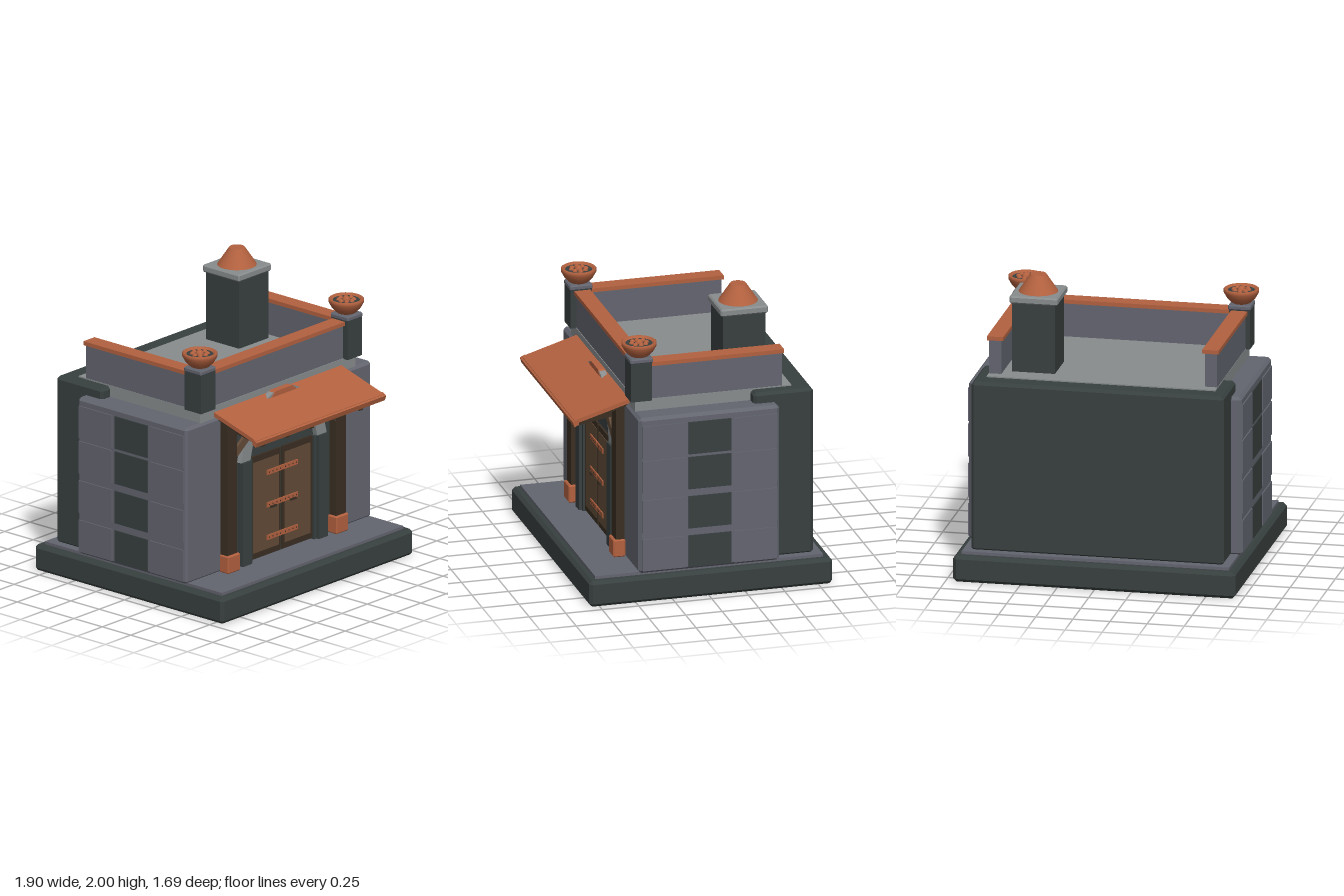
import * as THREE from 'three';
import { ConvexGeometry } from 'three/addons/geometries/ConvexGeometry.js';

const mat = (name, color, extra = {}) => {
  const m = new THREE.MeshStandardMaterial({ color, ...extra });
  m.name = name;
  return m;
};

export function createModel() {
  const root = new THREE.Group();
  root.name = 'stoneHouse';
  const dark = mat('darkStone', 0x38403f);
  const grey = mat('greyStone', 0x63656f);
  const pale = mat('paleStone', 0x888c8d);
  const copper = mat('copper', 0xb2613f);
  const beam = mat('darkWood', 0x3a2e22);
  const plank = mat('wood', 0x624b38);

  const add = (name, geo, material, parent = root) => {
    const m = new THREE.Mesh(geo, material);
    m.name = name;
    parent.add(m);
    return m;
  };
  // box given by its limits on each axis
  const box = (name, material, x0, x1, y0, y1, z0, z1, parent) => {
    const g = new THREE.BoxGeometry(x1 - x0, y1 - y0, z1 - z0);
    g.translate((x0 + x1) / 2, (y0 + y1) / 2, (z0 + z1) / 2);
    return add(name, g, material, parent);
  };
  // box with chamfered edges, as the hull of three inset boxes
  const bevelBox = (name, material, x0, x1, y0, y1, z0, z1, b = 0.02) => {
    const pts = [];
    for (const [bx, by, bz] of [[0, b, b], [b, 0, b], [b, b, 0]])
      for (const x of [x0 + bx, x1 - bx])
        for (const y of [y0 + by, y1 - by])
          for (const z of [z0 + bz, z1 - bz]) pts.push(new THREE.Vector3(x, y, z));
    return add(name, new ConvexGeometry(pts), material);
  };
  const shapeOf = pts => new THREE.Shape(pts.map(p => new THREE.Vector2(...p)));
  // front outline [x, y] extruded from z0 to z1
  const slabZ = (name, material, pts, z0, z1) => {
    const g = new THREE.ExtrudeGeometry(shapeOf(pts), { depth: z1 - z0, bevelEnabled: false });
    g.translate(0, 0, z0);
    return add(name, g, material);
  };
  // side outline [z, y] extruded across x
  const slabX = (name, material, pts, x0, x1) => {
    const g = new THREE.ExtrudeGeometry(shapeOf(pts), { depth: x1 - x0, bevelEnabled: false });
    g.rotateY(-Math.PI / 2);
    g.translate(x1, 0, 0);
    return add(name, g, material);
  };
  // mirrored limits on x
  const mx = (s, a, b) => (s > 0 ? [a, b] : [-b, -a]);

  // plinth, walls and roof
  bevelBox('plinth', dark, -0.95, 0.95, 0, 0.18, -0.845, 0.82, 0.022);
  box('paving', grey, -0.9, 0.9, 0.17, 0.2, -0.79, 0.77);
  bevelBox('mainWalls', grey, -0.918, 0.918, 0.19, 1.28, -0.49, 0.475);
  bevelBox('backWall', dark, -0.85, 0.85, 0.19, 1.352, -0.74, -0.33);
  box('roof', pale, -0.77, 0.77, 1.26, 1.36, -0.61, 0.46);

  // side wall blocks in a 3 by 4 grid
  const rows = [[0.21, 0.43], [0.48, 0.705], [0.755, 0.98], [1.0, 1.225]];
  const columns = [[0.16, 0.45], [-0.155, 0.135], [-0.47, -0.178]];
  for (const s of [1, -1])
    for (const [y0, y1] of rows)
      columns.forEach(([z0, z1], i) =>
        box('wallBlock', i === 1 ? dark : grey, ...mx(s, 0.9, 0.926), y0, y1, z0, z1));

  // parapet, corner posts and bowls
  box('frontParapet', grey, -0.66, 0.66, 1.355, 1.592, 0.375, 0.455);
  box('frontCoping', copper, -0.66, 0.66, 1.59, 1.617, 0.36, 0.47);
  const bowlProfile = [[0.045, 1.65], [0.065, 1.66], [0.095, 1.69], [0.117, 1.73], [0.117, 1.75],
    [0.108, 1.756], [0.095, 1.75], [0.078, 1.728], [0, 1.724]].map(p => new THREE.Vector2(...p));
  for (const s of [1, -1]) {
    box('sideParapet', grey, ...mx(s, 0.685, 0.768), 1.355, 1.592, -0.545, 0.42);
    box('sideCoping', copper, ...mx(s, 0.67, 0.78), 1.59, 1.617, -0.558, 0.42);
    box('cornerPost', dark, ...mx(s, 0.655, 0.797), 1.355, 1.625, 0.35, 0.495);
    bevelBox('postCap', grey, ...mx(s, 0.65, 0.802), 1.62, 1.655, 0.343, 0.5, 0.008);

    const bowl = new THREE.Group();
    bowl.name = 'fireBowl';
    bowl.position.set(s * 0.725, 0, 0.42);
    root.add(bowl);
    add('bowl', new THREE.LatheGeometry(bowlProfile, 32), copper, bowl);
    const disc = new THREE.CylinderGeometry(0.09, 0.09, 0.005, 32);
    add('bowlBed', disc.translate(0, 1.74, 0), dark, bowl);
    for (let i = 0; i < 9; i++) {
      const a = (i / 8) * Math.PI * 2;
      const r = i < 8 ? 0.05 : 0;
      const ball = new THREE.SphereGeometry(i < 8 ? 0.018 : 0.028, 12, 8);
      add('bowlBall', ball.translate(r * Math.cos(a), 1.74, r * Math.sin(a)), copper, bowl);
    }
  }

  // chimney
  box('chimney', dark, 0.34, 0.63, 1.355, 1.84, -0.472, -0.182);
  bevelBox('chimneyCap', pale, 0.32, 0.645, 1.83, 1.882, -0.49, -0.165, 0.01);
  const cowl = new THREE.CylinderGeometry(0.052, 0.132, 0.12, 32);
  add('chimneyCowl', cowl.translate(0.482, 1.94, -0.327), copper);

  // doorway surround
  box('doorwayBack', dark, -0.49, 0.49, 0.2, 1.22, 0.44, 0.48);
  const arch = [[0.425, 0.92], [0.37, 1.12], [0.26, 1.26], [0.155, 1.305], [0.1, 1.33],
    [0.08, 1.22], [0.17, 1.2], [0.24, 1.15], [0.3, 1.04], [0.33, 0.92]];
  for (const s of [1, -1]) {
    slabZ('archStone', pale, arch.map(([x, y]) => [s * x, y]), 0.47, 0.515);
    box('doorPillar', dark, ...mx(s, 0.33, 0.42), 0.2, 0.92, 0.47, 0.53);
    box('doorJamb', dark, ...mx(s, 0.305, 0.335), 0.2, 0.92, 0.47, 0.51);
  }
  slabZ('keystone', copper, [[-0.12, 1.2], [0.12, 1.2], [0.12, 1.306], [0.085, 1.336],
    [-0.085, 1.336], [-0.12, 1.306]], 0.47, 0.518);

  // double door with straps, studs and handles
  for (const s of [1, -1]) {
    box('doorFrame', beam, ...mx(s, 0.01, 0.307), 0.21, 0.922, 0.47, 0.495);
    box('doorPanel', plank, ...mx(s, 0.03, 0.282), 0.25, 0.88, 0.49, 0.499);
    for (const y of [0.33, 0.557, 0.783]) {
      box('doorStrap', copper, ...mx(s, 0.003, 0.152), y - 0.017, y + 0.017, 0.497, 0.506);
      for (const x of [0.025, 0.06, 0.1, 0.135])
        box('strapStud', beam, ...mx(s, x - 0.004, x + 0.004), y - 0.004, y + 0.004, 0.505, 0.509);
    }
    box('doorHandle', beam, ...mx(s, 0.07, 0.125), 0.533, 0.546, 0.5, 0.518);
  }

  // porch posts and braces
  for (const s of [1, -1]) {
    box('porchPost', beam, ...mx(s, 0.49, 0.588), 0.2, 1.265, 0.48, 0.54);
    bevelBox('postFoot', copper, ...mx(s, 0.475, 0.597), 0.2, 0.322, 0.475, 0.558, 0.008);
    slabZ('porchBrace', plank, [[0.495, 0.98], [0.495, 1.05], [0.32, 1.18], [0.225, 1.18]]
      .map(([x, y]) => [s * x, y]), 0.518, 0.538);
  }
  box('porchBeam', beam, -0.59, 0.59, 1.165, 1.225, 0.49, 0.538);

  // sloping porch roof and rafters
  slabX('porchRoof', copper, [[0.455, 1.29], [0.835, 1.178], [0.835, 1.205], [0.455, 1.32]], -0.632, 0.632);
  slabX('porchFascia', copper, [[0.805, 1.175], [0.837, 1.16], [0.848, 1.195], [0.815, 1.212]], -0.64, 0.64);
  slabX('porchBoards', beam, [[0.46, 1.26], [0.8, 1.165], [0.805, 1.192], [0.46, 1.294]], -0.6, 0.6);
  for (const x of [-0.486, -0.243, -0.004, 0.24, 0.478])
    slabX('rafter', beam, [[0.48, 1.165], [0.77, 1.115], [0.77, 1.145], [0.48, 1.2]], x - 0.017, x + 0.017);

  return root;
}
